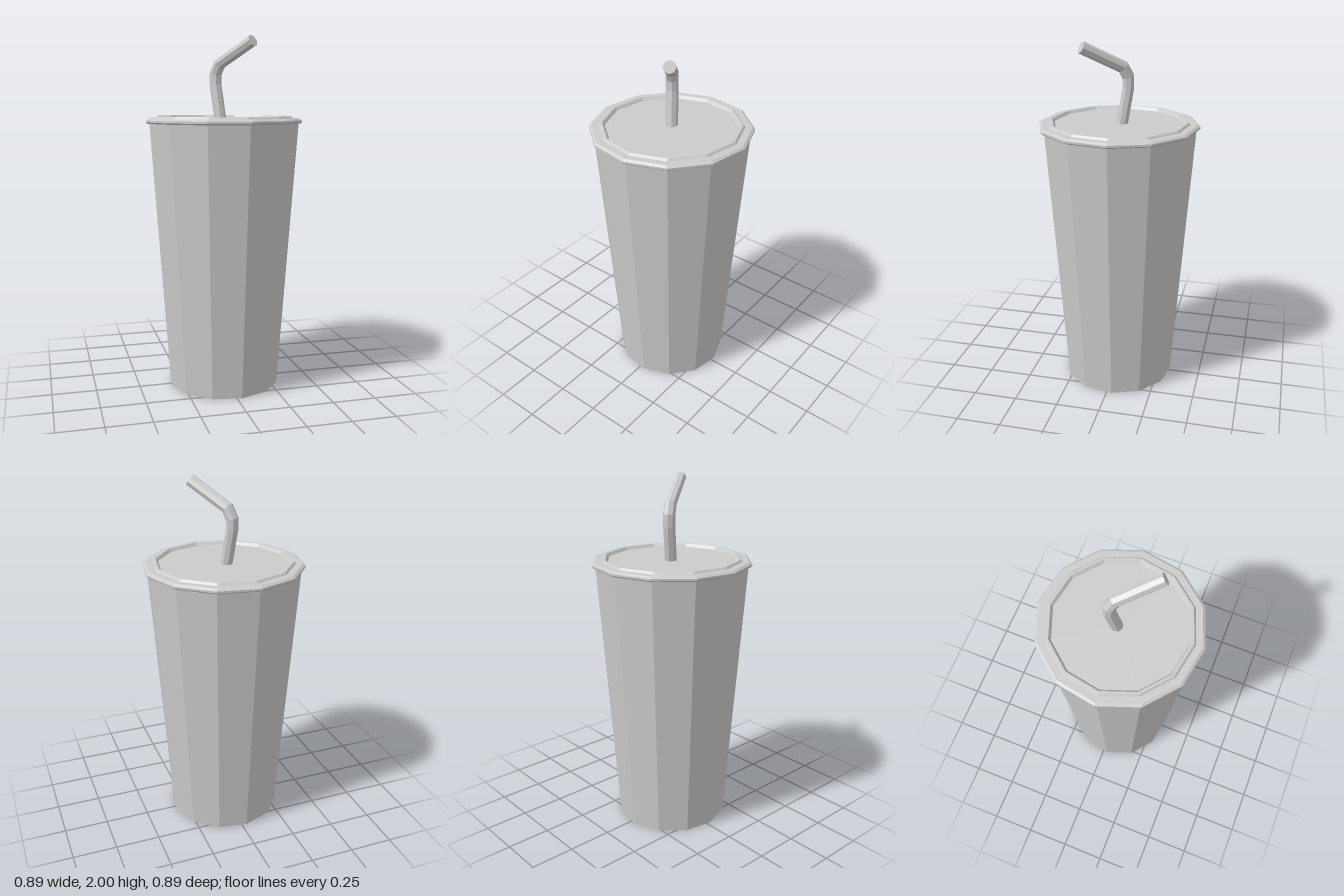
import * as THREE from 'three';

const SIDES = 12;
const TURN = THREE.MathUtils.degToRad(5);
const material = new THREE.MeshStandardMaterial({ color: 0xcccccc, flatShading: true });

// Faceted turned part from [radius, height] pairs, listed bottom to top
function turned(name, profile) {
  const points = profile.map(([r, y]) => new THREE.Vector2(r, y));
  const mesh = new THREE.Mesh(new THREE.LatheGeometry(points, SIDES, TURN), material);
  mesh.name = name;
  return mesh;
}

// Capped pipe whose rings follow a path of [z, y] pairs, mitred at the bends
function bentPipe(name, path, radius, sides) {
  const pts = path.map(([z, y]) => new THREE.Vector2(z, y));
  const last = pts.length - 1;
  const geometry = new THREE.CylinderGeometry(1, 1, last, sides, last);
  const pos = geometry.attributes.position;
  for (let i = 0; i < pos.count; i++) {
    const k = Math.round(pos.getY(i) + last / 2);
    const before = pts[Math.max(k, 1)].clone().sub(pts[Math.max(k, 1) - 1]).normalize();
    const next = Math.min(k, last - 1);
    const after = pts[next + 1].clone().sub(pts[next]).normalize();
    const along = before.clone().add(after).normalize();
    const reach = pos.getZ(i) * radius / along.dot(before);
    pos.setXYZ(i, pos.getX(i) * radius, pts[k].y - along.x * reach, pts[k].x + along.y * reach);
  }
  geometry.computeVertexNormals();
  const mesh = new THREE.Mesh(geometry, material);
  mesh.name = name;
  return mesh;
}

export function createModel() {
  const group = new THREE.Group();
  group.name = 'drinkCup';

  // Tapered cup with a closed base
  group.add(turned('cup', [[0, 0], [0.32, 0], [0.43, 1.53]]));

  // Lid: overhanging rim, raised ridge and recessed centre
  group.add(turned('lid', [
    [0.425, 1.52], [0.44, 1.52], [0.449, 1.527], [0.449, 1.538], [0.435, 1.548],
    [0.397, 1.548], [0.387, 1.56], [0.375, 1.56], [0.362, 1.543], [0, 1.543],
  ]));

  // Bent straw leaning towards the front left
  const straw = bentPipe('straw', [
    [-0.018, 1.53], [-0.056, 1.735], [-0.056, 1.795], [-0.026, 1.85], [0.213, 1.968],
  ], 0.034, 8);
  straw.rotation.y = THREE.MathUtils.degToRad(35);
  group.add(straw);

  return group;
}
